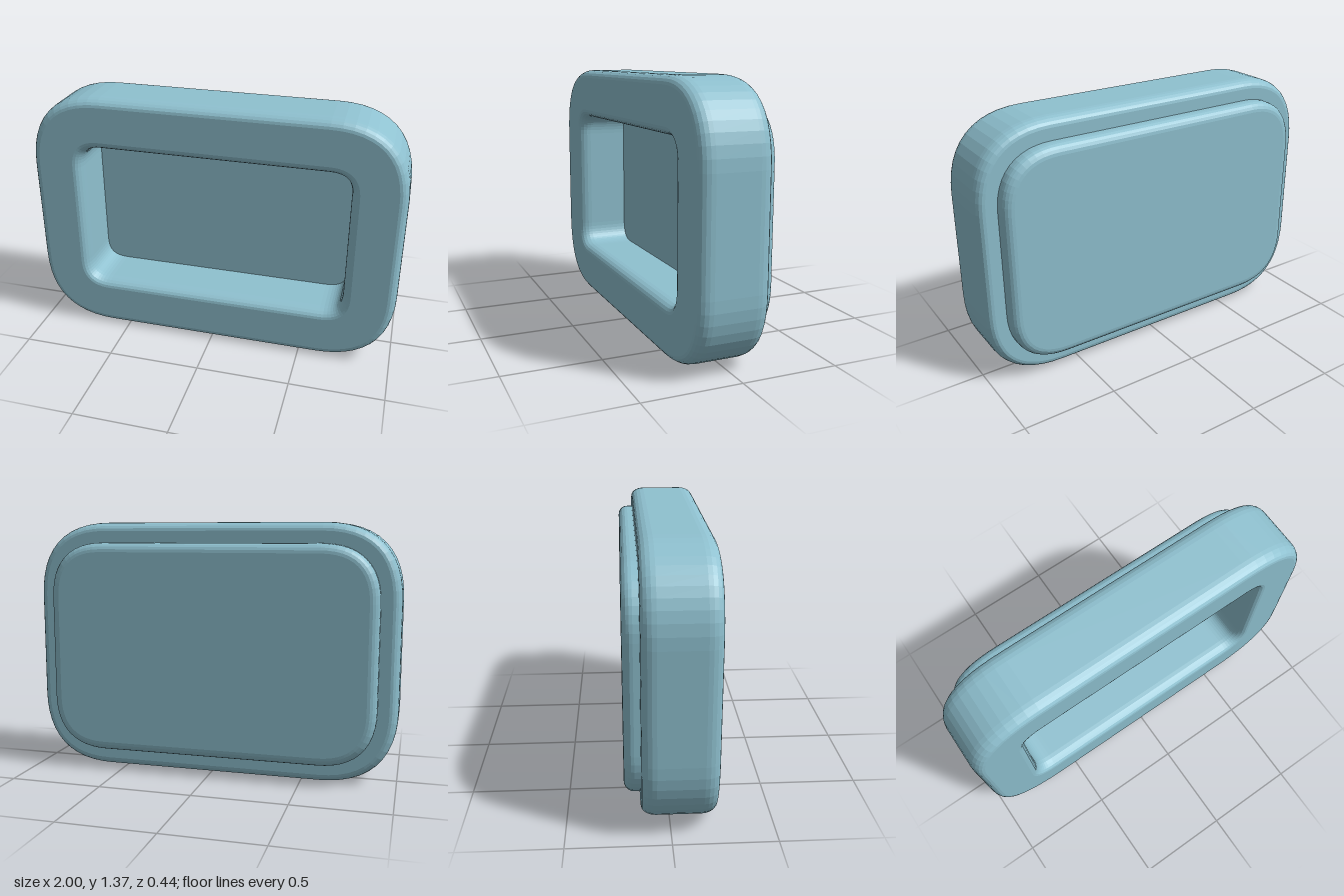
import * as THREE from 'three';

const CENTER_Y = 0.685;

// Rectangle with soft quadratic corners, centred on the origin
function softRect(path, w, h, r) {
  path.moveTo(-w + r, -h);
  path.lineTo(w - r, -h);
  path.quadraticCurveTo(w, -h, w, -h + r);
  path.lineTo(w, h - r);
  path.quadraticCurveTo(w, h, w - r, h);
  path.lineTo(-w + r, h);
  path.quadraticCurveTo(-w, h, -w, h - r);
  path.lineTo(-w, -h + r);
  path.quadraticCurveTo(-w, -h, -w + r, -h);
  return path;
}

// Bevelled slab filling zBack..zFront
function slab(name, shape, zBack, zFront, bevelThickness, bevelSize, material) {
  const geometry = new THREE.ExtrudeGeometry(shape, {
    depth: zFront - zBack - 2 * bevelThickness,
    bevelThickness, bevelSize, bevelSegments: 5, curveSegments: 12,
  });
  geometry.translate(0, CENTER_Y, zBack + bevelThickness);
  const mesh = new THREE.Mesh(geometry, material);
  mesh.name = name;
  return mesh;
}

export function createModel() {
  const group = new THREE.Group();
  group.name = 'framedPanel';
  const material = new THREE.MeshStandardMaterial({ color: 0x8fc1d0 });

  // Thick front frame with a rounded opening
  const frame = softRect(new THREE.Shape(), 0.955, 0.64, 0.36);
  frame.holes.push(softRect(new THREE.Path(), 0.765, 0.448, 0.16));
  group.add(slab('frame', frame, -0.14, 0.22, 0.07, 0.045, material));

  // Back panel closing the opening, set partly into the frame
  const panel = softRect(new THREE.Shape(), 0.845, 0.527, 0.25);
  group.add(slab('backPanel', panel, -0.22, -0.07, 0.05, 0.05, material));

  return group;
}
